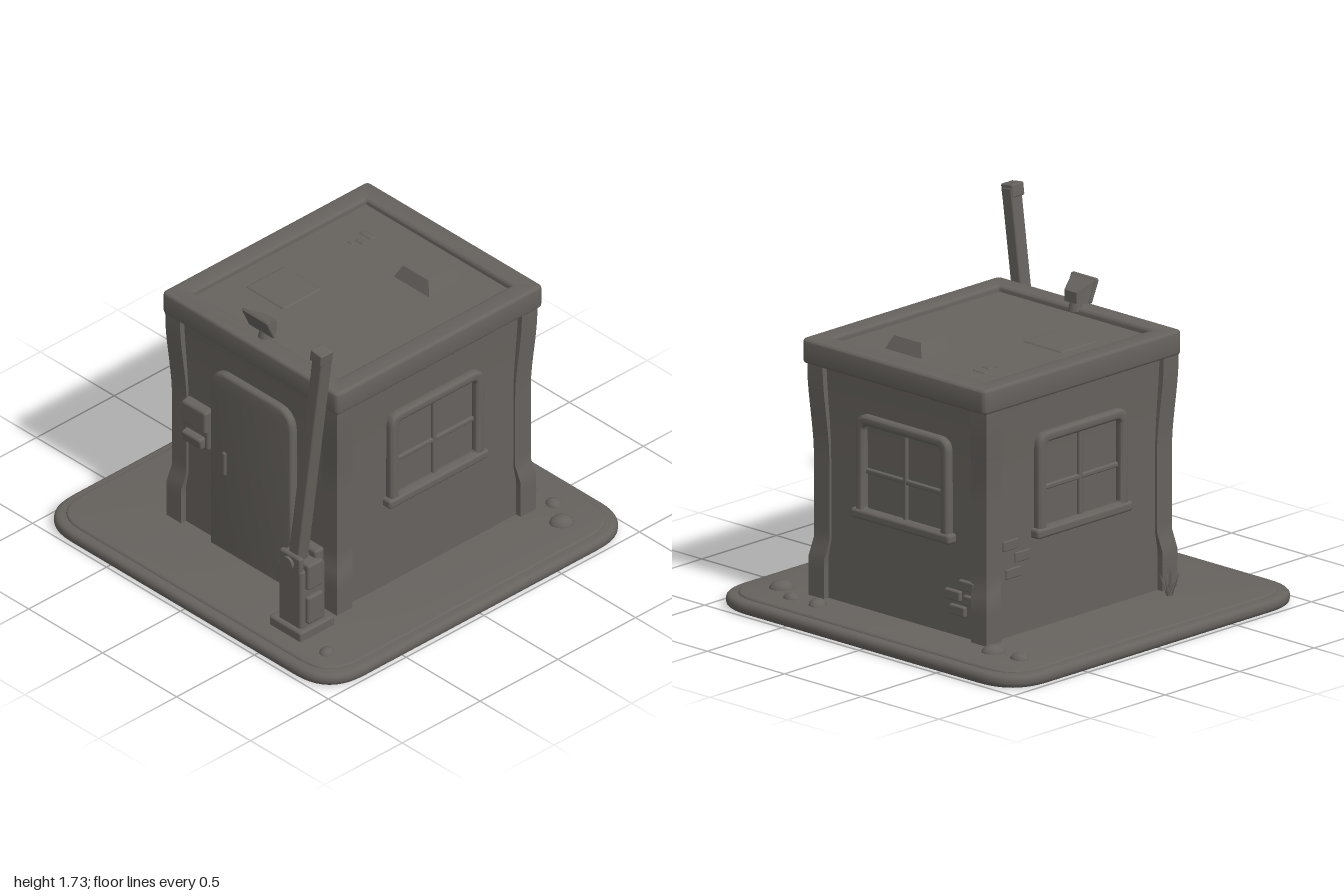
import * as THREE from 'three';
import { toCreasedNormals } from 'three/addons/utils/BufferGeometryUtils.js';
import { RoundedBoxGeometry } from 'three/addons/geometries/RoundedBoxGeometry.js';

const clay = new THREE.MeshStandardMaterial({ color: 0x66625e });
clay.name = 'warm grey clay';

function add(parent, name, geo, x = 0, y = 0, z = 0) {
  const m = new THREE.Mesh(geo, clay);
  m.name = name;
  m.position.set(x, y, z);
  parent.add(m);
  return m;
}

// Rounded box given by its bounds
function block(parent, name, [x0, x1], [y0, y1], [z0, z1], r = 0.01) {
  const w = x1 - x0, h = y1 - y0, d = z1 - z0;
  const geo = new RoundedBoxGeometry(w, h, d, 2, Math.min(r, w / 2.1, h / 2.1, d / 2.1));
  return add(parent, name, geo, (x0 + x1) / 2, (y0 + y1) / 2, (z0 + z1) / 2);
}

// Rectangle outline with separate lower and upper corner radii
function outline(target, x0, x1, y0, y1, rb, rt = rb) {
  target.moveTo(x0 + rb, y0);
  target.lineTo(x1 - rb, y0);
  if (rb) target.quadraticCurveTo(x1, y0, x1, y0 + rb);
  target.lineTo(x1, y1 - rt);
  target.quadraticCurveTo(x1, y1, x1 - rt, y1);
  target.lineTo(x0 + rt, y1);
  target.quadraticCurveTo(x0, y1, x0, y1 - rt);
  target.lineTo(x0, y0 + rb);
  if (rb) target.quadraticCurveTo(x0, y0, x0 + rb, y0);
  return target;
}

function extrude(shape, depth, bevel) {
  const geo = new THREE.ExtrudeGeometry(shape, {
    depth: depth - 2 * bevel, bevelEnabled: true, bevelThickness: bevel,
    bevelSize: bevel, bevelOffset: -bevel, bevelSegments: 3, curveSegments: 10,
  });
  geo.translate(0, 0, bevel);
  return toCreasedNormals(geo, 0.7);
}

// Window in its own frame: wall plane at z = 0, centred on x
function makeWindow(parent, name, x, z, turn) {
  const g = new THREE.Group();
  g.name = name;
  const s = outline(new THREE.Shape(), -0.3, 0.3, 0.53, 1.03, 0.02, 0.07);
  s.holes.push(outline(new THREE.Path(), -0.25, 0.25, 0.57, 0.98, 0.01, 0.03));
  add(g, 'windowFrame', extrude(s, 0.05, 0.015), 0, 0, -0.01);
  block(g, 'windowSill', [-0.32, 0.32], [0.52, 0.568], [-0.02, 0.05], 0.015);
  block(g, 'windowPost', [-0.012, 0.012], [0.56, 0.99], [-0.02, 0.017], 0.008);
  block(g, 'windowBar', [-0.26, 0.26], [0.74, 0.765], [-0.02, 0.015], 0.008);
  g.position.set(x, 0, z);
  g.rotation.y = turn;
  parent.add(g);
}

export function createModel() {
  const model = new THREE.Group();
  model.name = 'guardBooth';

  // Ground slab
  const slab = add(model, 'groundSlab', extrude(outline(new THREE.Shape(), -0.99, 0.99, -0.99, 0.99, 0.24), 0.062, 0.025));
  slab.rotation.x = -Math.PI / 2;
  const dirt = add(model, 'groundTop', extrude(outline(new THREE.Shape(), -0.94, 0.94, -0.94, 0.94, 0.2), 0.03, 0.012), 0, 0.042, 0);
  dirt.rotation.x = -Math.PI / 2;

  // Walls, pinched slightly at mid height
  const cx = 0.03, cz = -0.07;
  const walls = new THREE.BoxGeometry(1.09, 1.2, 1.22, 1, 16, 1);
  const wp = walls.attributes.position;
  for (let i = 0; i < wp.count; i++) {
    const k = 1 + 0.02 * Math.pow(Math.max(0, wp.getY(i) / 0.6), 3);
    wp.setX(i, wp.getX(i) * k);
    wp.setZ(i, wp.getZ(i) * k);
  }
  add(model, 'walls', toCreasedNormals(walls, 0.7), cx, 0.66, cz);

  // Corner pillars with heavier feet and flared heads
  for (const sx of [-1, 1]) for (const sz of [-1, 1]) {
    const geo = new THREE.BoxGeometry(0.1, 1.15, 0.1, 1, 24, 1);
    const p = geo.attributes.position;
    for (let i = 0; i < p.count; i++) {
      const y = p.getY(i) + 0.645;
      const foot = 0.018 * (1 - THREE.MathUtils.smoothstep(y, 0.27, 0.35));
      const head = 0.022 * THREE.MathUtils.smoothstep(y, 0.75, 1.2);
      const grow = foot + head;
      p.setX(i, p.getX(i) + sx * grow);
      p.setZ(i, p.getZ(i) + sz * grow);
    }
    add(model, 'cornerPillar', toCreasedNormals(geo, 0.7), cx + sx * 0.508, 0.645, cz + sz * 0.573);
  }

  // Roof rim, deck and fittings
  const rim = outline(new THREE.Shape(), -0.565, 0.625, -0.585, 0.74, 0.03);
  rim.holes.push(outline(new THREE.Path(), -0.46, 0.52, -0.48, 0.63, 0.01));
  add(model, 'roofRim', extrude(rim, 0.12, 0.015), 0, 1.21, 0).rotation.x = -Math.PI / 2;
  block(model, 'roofDeck', [-0.5, 0.56], [1.22, 1.3], [-0.67, 0.52]);
  block(model, 'roofPatch', [-0.35, -0.09], [1.28, 1.307], [0, 0.25], 0.012);
  [[-0.27, -0.46, 0.04], [-0.25, -0.4, 0.03], [-0.28, -0.36, 0.02]].forEach(([x, z, r]) =>
    block(model, 'roofChip', [x - r, x + r], [1.28, 1.306], [z - r / 2, z + r / 2]));
  const vent = new THREE.CylinderGeometry(0.115, 0.165, 0.075, 4, 1).toNonIndexed();
  vent.rotateY(Math.PI / 4);
  vent.scale(1.06, 1, 0.9);
  vent.computeVertexNormals();
  add(model, 'roofVent', vent, 0.18, 1.328, -0.415);

  // Roof lamp: hood tapering to the back on a short stem
  const hood = new THREE.BoxGeometry(0.16, 0.115, 0.1);
  const hp = hood.attributes.position;
  for (let i = 0; i < hp.count; i++) {
    const back = hp.getZ(i) < 0, top = hp.getY(i) > 0;
    if (back) hp.setX(i, hp.getX(i) * 0.5);
    hp.setY(i, top ? (back ? 0 : 0.058) : -0.055);
    if (!top && !back) hp.setZ(i, 0);
  }
  hood.computeVertexNormals();
  add(model, 'lampHood', hood, 0.03, 1.417, 0.5);
  const lens = block(model, 'lampRim', [-0.055, 0.115], [1.357, 1.477], [0.516, 0.534], 0.008);
  lens.rotation.x = 0.42;
  add(model, 'lampStem', new THREE.CylinderGeometry(0.025, 0.035, 0.06, 12), 0.035, 1.345, 0.49);

  // Door with arched frame, panels and handle
  const door = new THREE.Group();
  door.name = 'door';
  model.add(door);
  const jamb = outline(new THREE.Shape(), -0.245, 0.305, 0.065, 1.06, 0, 0.11);
  jamb.holes.push(outline(new THREE.Path(), -0.19, 0.25, 0.09, 1.01, 0, 0.06));
  add(door, 'doorFrame', extrude(jamb, 0.055, 0.016), 0, 0, 0.525);
  const leaf = outline(new THREE.Shape(), -0.18, 0.24, 0.095, 1.0, 0, 0.04);
  leaf.holes.push(outline(new THREE.Path(), -0.125, 0.2, 0.13, 0.535, 0.01));
  leaf.holes.push(outline(new THREE.Path(), -0.125, 0.2, 0.585, 0.945, 0.01));
  add(door, 'doorLeaf', extrude(leaf, 0.028, 0.008), 0, 0, 0.53);
  block(door, 'handlePlate', [-0.165, -0.12], [0.49, 0.64], [0.54, 0.568]);
  block(door, 'handleGrip', [-0.155, -0.13], [0.5, 0.63], [0.56, 0.592]);

  // Post box beside the door
  block(model, 'wallBox', [-0.43, -0.26], [0.57, 0.79], [0.52, 0.575], 0.012);
  block(model, 'wallBoxHood', [-0.428, -0.262], [0.665, 0.79], [0.54, 0.592], 0.015);
  block(model, 'wallBoxTray', [-0.41, -0.28], [0.58, 0.64], [0.54, 0.605], 0.012).rotation.x = 0.2;

  // Windows on the two sides and the back
  makeWindow(model, 'leftWindow', 0.575, -0.075, Math.PI / 2);
  makeWindow(model, 'rightWindow', -0.515, -0.06, -Math.PI / 2);
  makeWindow(model, 'backWindow', 0, -0.68, Math.PI);

  // Exposed bricks near the rear right corner
  [[-0.34, 0.2], [-0.43, 0.26], [-0.31, 0.27], [-0.4, 0.33]].forEach(([x, y]) =>
    block(model, 'backBrick', [x - 0.05, x + 0.05], [y - 0.025, y + 0.025], [-0.7, -0.67], 0.008));
  [[-0.5, 0.38], [-0.44, 0.45], [-0.52, 0.52]].forEach(([z, y]) =>
    block(model, 'sideBrick', [-0.523, -0.505], [y - 0.025, y + 0.025], [z - 0.05, z + 0.05], 0.006));

  // Barrier: pedestal, side clamps and raised boom
  const barrier = new THREE.Group();
  barrier.name = 'barrier';
  model.add(barrier);
  block(barrier, 'barrierPlinth', [0.435, 0.65], [0.05, 0.12], [0.625, 0.845], 0.012);
  block(barrier, 'barrierPost', [0.47, 0.625], [0.1, 0.44], [0.66, 0.82], 0.015);
  for (const [z0, z1] of [[0.66, 0.72], [0.79, 0.82]])
    block(barrier, 'boomBracket', [0.475, 0.62], [0.4, 0.51], [z0, z1], 0.015);
  for (const [y0, y1] of [[0.14, 0.29], [0.33, 0.47]])
    block(barrier, 'barrierClamp', [0.452, 0.645], [y0, y1], [0.69, 0.79], 0.012);
  const bolt = add(barrier, 'boomPivot', new THREE.CylinderGeometry(0.035, 0.035, 0.18, 12), 0.545, 0.46, 0.745);
  bolt.rotation.x = Math.PI / 2;
  const boom = new THREE.Group();
  boom.name = 'boom';
  boom.position.set(0.54, 0.4, 0.765);
  boom.rotation.z = -0.135;
  barrier.add(boom);
  block(boom, 'boomPole', [-0.034, 0.034], [0, 1.32], [-0.036, 0.036], 0.01);
  block(boom, 'boomCap', [-0.038, 0.038], [1.27, 1.335], [-0.032, 0.048], 0.008);

  // Rocks
  [[-0.78, -0.73, 0.05], [-0.62, -0.74, 0.06], [0.47, -0.79, 0.052], [0.63, -0.8, 0.045],
    [0.77, -0.72, 0.062], [0.79, 0.81, 0.042]].forEach(([x, z, r], i) => {
    const rock = add(model, 'rock', new THREE.SphereGeometry(r, 12, 8), x, 0.066, z);
    rock.scale.set(1, 0.7, 0.85);
    rock.rotation.y = i;
  });

  // Grass tuft
  for (let i = 0; i < 10; i++) {
    const h = 0.11 + 0.06 * ((i * 7) % 4) / 3;
    const blade = new THREE.ConeGeometry(0.013, h, 4);
    blade.translate(0, h / 2, 0);
    const m = add(model, 'grassBlade', blade, -0.61, 0.065, 0.45);
    m.rotation.set(0, i * 2.4, 0.12 + 0.09 * (i % 4), 'YXZ');
  }
  return model;
}
